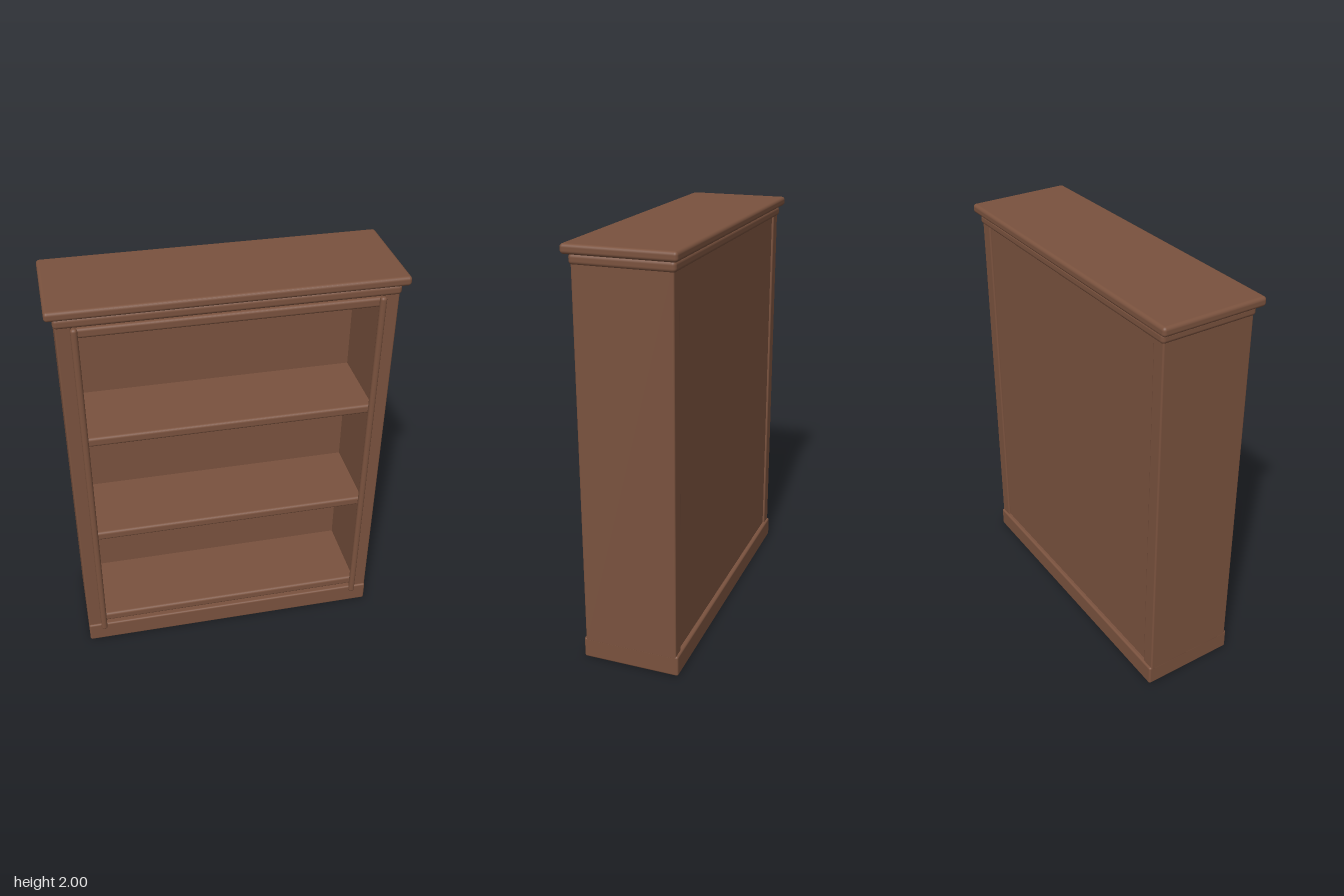
import * as THREE from 'three';
import { RoundedBoxGeometry } from 'three/addons/geometries/RoundedBoxGeometry.js';

const wood = new THREE.MeshStandardMaterial({ color: 0x7a523e });

// Board with softened edges, given by its extents on each axis
function board(name, [x0, x1], [y0, y1], [z0, z1], radius) {
  const geometry = new RoundedBoxGeometry(x1 - x0, y1 - y0, z1 - z0, 4, radius);
  const mesh = new THREE.Mesh(geometry, wood);
  mesh.name = name;
  mesh.position.set((x0 + x1) / 2, (y0 + y1) / 2, (z0 + z1) / 2);
  return mesh;
}

export function createModel() {
  const bookcase = new THREE.Group();
  bookcase.name = 'bookcase';

  // Plinth and two-step crown
  bookcase.add(
    board('plinth', [-0.765, 0.765], [0, 0.105], [-0.24, 0.24], 0.01),
    board('crownMoulding', [-0.772, 0.772], [1.905, 1.955], [-0.24, 0.24], 0.018),
    board('topBoard', [-0.805, 0.805], [1.955, 2], [-0.26, 0.26], 0.016),
  );

  // Back panel, slightly recessed between the sides
  bookcase.add(board('backPanel', [-0.7, 0.7], [0.09, 1.92], [-0.22, -0.17], 0.005));

  // Side panels and the slim beads covering their front inner edges
  for (const [side, s] of [['left', 1], ['right', -1]]) {
    const span = (a, b) => (s > 0 ? [a, b] : [-b, -a]);
    bookcase.add(
      board(side + 'SidePanel', span(0.695, 0.765), [0.09, 1.92], [-0.23, 0.23], 0.008),
      board(side + 'FrontBead', span(0.67, 0.701), [0.075, 1.907], [0.224, 0.255], 0.014),
    );
  }

  // Shelves, from the floor board to the ceiling board
  [0.108, 0.682, 1.262, 1.842].forEach((y, i) => {
    bookcase.add(board('shelf' + (i + 1), [-0.71, 0.71], [y, y + 0.048], [-0.19, 0.22], 0.014));
  });

  return bookcase;
}
